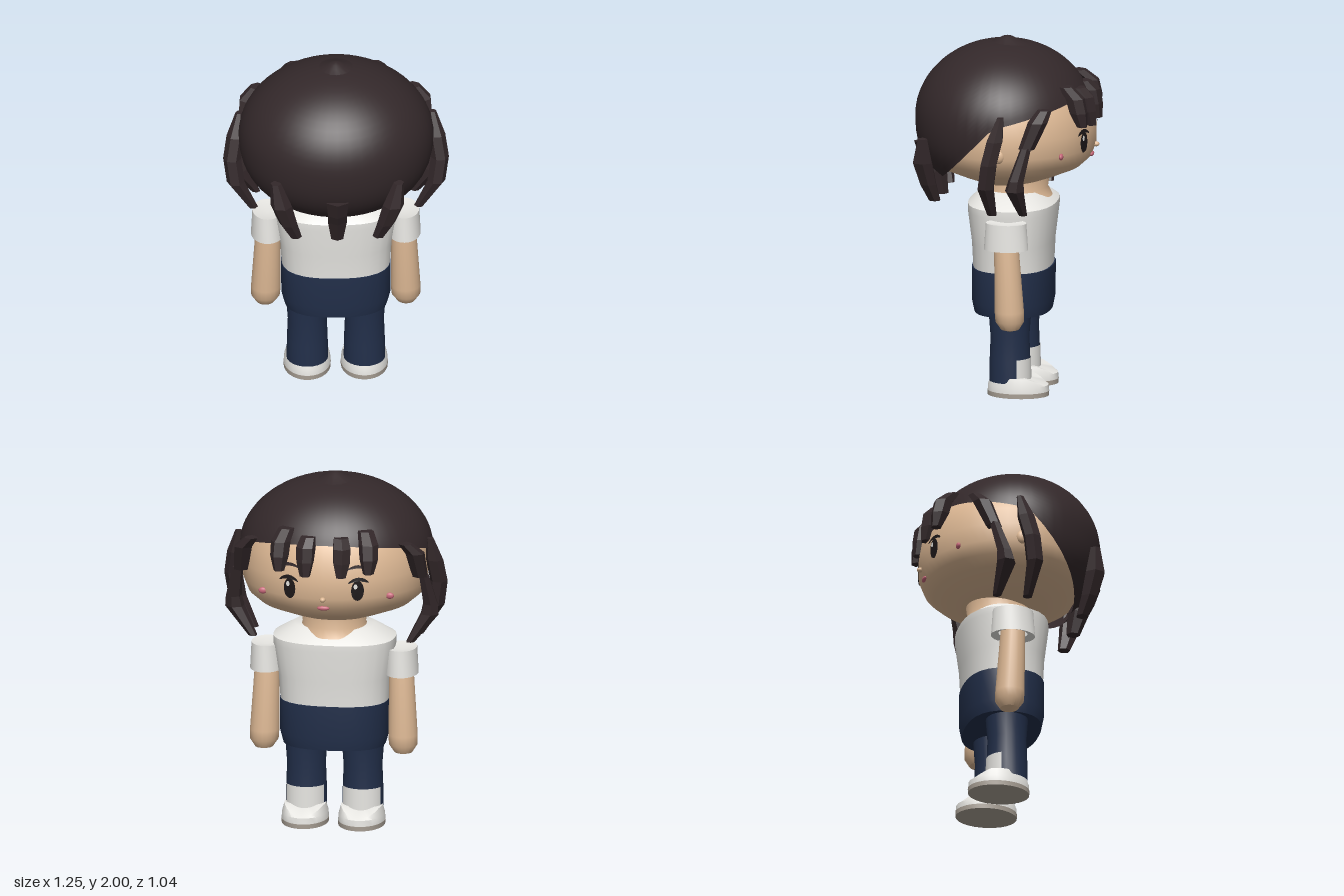
import * as THREE from 'three';
import { mergeVertices, toCreasedNormals } from 'three/addons/utils/BufferGeometryUtils.js';

const mat = (name, color, side = THREE.FrontSide) => {
  const m = new THREE.MeshStandardMaterial({ color, side });
  m.name = name;
  return m;
};

export function createModel() {
  const hair = mat('dark brown hair', 0x33282a, THREE.DoubleSide);
  const skin = mat('skin', 0xddb894);
  const white = mat('white cloth', 0xe9e8e4, THREE.DoubleSide);
  const navy = mat('navy cloth', 0x222f4a);
  const soleGrey = mat('sole grey', 0xaaa196);
  const pink = mat('pink', 0xc8687a, THREE.DoubleSide);
  const black = mat('eye black', 0x1d1819, THREE.DoubleSide);

  const root = new THREE.Group();
  const add = (name, geo, material) => {
    const mesh = new THREE.Mesh(geo, material);
    mesh.name = name;
    root.add(mesh);
  };
  const eachVertex = (geo, rule) => {
    const p = geo.attributes.position, v = new THREE.Vector3();
    for (let i = 0; i < p.count; i++) {
      rule(v.fromBufferAttribute(p, i));
      p.setXYZ(i, v.x, v.y, v.z);
    }
    geo.computeVertexNormals();
    return geo;
  };
  // Turned shape from [radius, y] points, listed bottom to top; rule reshapes it
  const turned = (name, pts, material, rule = () => {}, sides = 32, crease = 0.7) => {
    const geo = new THREE.LatheGeometry(pts.map(([r, y]) => new THREE.Vector2(r, y)), sides);
    geo.deleteAttribute('uv');
    geo.deleteAttribute('normal');
    add(name, toCreasedNormals(eachVertex(mergeVertices(geo, 1e-5), rule), crease), material);
  };

  // Head and neck
  const face = [[0, 1.17], [0.16, 1.18], [0.28, 1.225], [0.41, 1.28], [0.465, 1.33], [0.492, 1.4],
    [0.492, 1.5], [0.475, 1.6], [0.43, 1.7], [0.33, 1.8], [0, 1.88]];
  turned('head', face, skin, v => { v.x *= 1.04; if (v.z > 0) v.z *= 0.93; }, 56, 1.2);
  turned('neck', [[0.2, 1.1], [0.175, 1.15], [0.19, 1.26]], skin, v => { v.z -= 0.05; });

  // Hair cap, cut along a sloping hairline
  const hairRadius = y => {
    const d = Math.min(Math.abs(y - 1.55) / 0.42, 1), e = y < 1.55 ? 2.4 : 2;
    return Math.pow(1 - Math.pow(d, e), 1 / e);
  };
  const hairline = a => {
    let lo = 1.14, hi = 1.9;
    for (let i = 0; i < 30; i++) {
      const y = (lo + hi) / 2, z = 0.02 + 0.49 * hairRadius(y) * Math.cos(a);
      if (y < 1.58 - z * (z > 0 ? 1.05 : 0.26)) lo = y; else hi = y;
    }
    return lo;
  };
  const cap = eachVertex(new THREE.PlaneGeometry(1, 1, 48, 24), v => {
    const a = v.x * Math.PI * 2, t = 0.5 - v.y;
    // even steps in angle from the crown down to the hairline
    const end = Math.acos((hairline(a) - 1.55) / 0.42);
    const y = 1.55 + 0.42 * Math.cos(end * t), r = hairRadius(y);
    v.set(0.54 * r * Math.sin(a), y, 0.02 + 0.49 * r * Math.cos(a));
  });
  cap.deleteAttribute('uv');
  cap.deleteAttribute('normal');
  const capGeo = mergeVertices(cap, 1e-4);
  capGeo.computeVertexNormals();
  add('hairCap', capGeo, hair);
  turned('crownTip', [[0.14, 1.945], [0.05, 1.98], [0.03, 1.992], [0, 2]], hair, undefined, 16);

  // Hair locks: six-sided tapered strands through [x, y, z, radius] rings
  const lock = (name, rings, side = 1) => {
    const n = rings.length - 1;
    const geo = new THREE.CylinderGeometry(1, 1, 1, 6, n);
    geo.rotateY(Math.atan2(rings[0][0] * side, rings[0][2]));
    eachVertex(geo, v => {
      const [x, y, z, r] = rings[Math.round((0.5 - v.y) * n)];
      v.set(x * side + v.x * r, y, z + v.z * r);
    });
    const flat = geo.toNonIndexed();
    flat.computeVertexNormals();
    add(name, flat, hair);
  };
  lock('backMiddleLock', [[0, 1.38, 0.455, 0.07], [0, 1.28, 0.43, 0.06], [0, 1.22, 0.4, 0.06], [0, 1.09, 0.37, 0.038]]);
  for (const s of [1, -1]) {
    const n = s > 0 ? 'left' : 'right';
    lock(n + 'BackLock', [[0.34, 1.47, 0.42, 0.03], [0.31, 1.33, 0.425, 0.06], [0.27, 1.2, 0.4, 0.05], [0.23, 1.1, 0.37, 0.035]], s);
    lock(n + 'SideLock', [[0.535, 1.65, -0.05, 0.02], [0.555, 1.52, -0.02, 0.05], [0.575, 1.39, 0.01, 0.05],
      [0.555, 1.25, 0.03, 0.05], [0.46, 1.08, 0.01, 0.028]], s);
    lock(n + 'TempleLock', [[0.43, 1.68, -0.28, 0.04], [0.48, 1.62, -0.25, 0.055], [0.5, 1.47, -0.19, 0.045]], s);
    lock(n + 'TempleLockEnd', [[0.52, 1.48, -0.19, 0.03], [0.55, 1.3, -0.14, 0.045], [0.545, 1.24, -0.13, 0.055], [0.44, 1.08, -0.16, 0.025]], s);
    lock(n + 'OuterBang', [[0.22, 1.77, -0.36, 0.045], [0.245, 1.71, -0.42, 0.055], [0.25, 1.63, -0.44, 0.052], [0.25, 1.55, -0.46, 0.03]], s);
    lock(n + 'InnerBang', [[0.09, 1.74, -0.41, 0.045], [0.1, 1.69, -0.45, 0.055], [0.1, 1.61, -0.465, 0.052], [0.1, 1.53, -0.485, 0.03]], s);
  }

  // Face details: thin ovals that follow the face
  const faceZ = (x, y) => {
    const i = face.findIndex(p => p[1] > y), [r0, y0] = face[i - 1], [r1, y1] = face[i];
    const r = r0 + (r1 - r0) * (y - y0) / (y1 - y0);
    return -Math.sqrt(Math.max(r * r - (x / 1.04) ** 2, 0));
  };
  const oval = (name, x, y, w, h, material, lift = 0.005, bend = 0) => {
    const geo = new THREE.CircleGeometry(1, 20);
    eachVertex(geo, v => {
      const px = x + v.x * w, py = y + v.y * h - bend * v.x ** 2;
      v.set(px, py, faceZ(px, py) - lift);
    });
    add(name, geo, material);
  };
  const ball = (name, x, y, z, sx, sy, sz, material) => {
    const geo = new THREE.SphereGeometry(1, 14, 10);
    geo.scale(sx, sy, sz);
    geo.translate(x, y, z);
    add(name, geo, material);
  };
  for (const s of [1, -1]) {
    const n = s > 0 ? 'left' : 'right';
    oval(n + 'Eye', s * 0.19, 1.45, 0.034, 0.058, black);
    oval(n + 'EyeShine', s * 0.19 + 0.01, 1.475, 0.01, 0.015, white, 0.008);
    oval(n + 'Lash', s * 0.195, 1.515, 0.055, 0.011, black, 0.008, 0.02);
    oval(n + 'Brow', s * 0.19, 1.585, 0.055, 0.009, hair, 0.006, 0.015);
    ball(n + 'Cheek', s * 0.355, 1.4, -0.36, 0.024, 0.018, 0.012, pink);
    ball(n + 'Ear', s * 0.5, 1.42, -0.03, 0.025, 0.04, 0.035, skin);
  }
  ball('nose', 0, 1.4, -0.497, 0.016, 0.014, 0.018, skin);
  ball('mouth', 0, 1.345, -0.473, 0.035, 0.013, 0.012, pink);

  // Torso: rounded oval sections, slightly fuller than an ellipse
  const torso = depth => v => {
    const a = Math.atan2(v.x, v.z);
    const k = Math.pow(Math.abs(Math.sin(a)) ** 2.5 + Math.abs(Math.cos(a)) ** 2.5, -0.4);
    v.x *= k;
    v.z = v.z * k * depth - 0.035;
  };
  turned('shirt', [[0.3, 0.7], [0.31, 0.85], [0.34, 1.03], [0.34, 1.07], [0.22, 1.14], [0, 1.145]], white, torso(0.72));
  turned('shorts', [[0, 0.455], [0.285, 0.455], [0.302, 0.52], [0.303, 0.71], [0.2, 0.712]], navy, torso(0.74));

  for (const s of [1, -1]) {
    const n = s > 0 ? 'left' : 'right';
    // Arms and sleeves
    turned(n + 'Arm', [[0, 0.405], [0.05, 0.42], [0.08, 0.465], [0.082, 0.52], [0.068, 0.9], [0.06, 0.98]], skin,
      v => { v.x += s * (0.39 - (v.y - 0.41) * 0.03); v.z -= 0.08 - (v.y - 0.41) * 0.05; }, 20);
    turned(n + 'Sleeve', [[0.06, 0.885], [0.092, 0.87], [0.084, 1.02], [0, 1.0]], white,
      v => { v.x += s * 0.378; v.z = v.z * 1.35 - 0.055; }, 24);
    // Legs and the white shoe tongues
    turned(n + 'Leg', [[0.115, 0.08], [0.113, 0.2], [0.108, 0.33], [0.118, 0.46]], navy,
      v => { v.x += s * 0.158; v.z -= 0.04; }, 24);
    const tongue = new THREE.CylinderGeometry(0.117, 0.118, 0.13, 14, 1, true, Math.PI - 1.1, 2.2);
    tongue.translate(s * 0.158, 0.148, -0.04);
    add(n + 'ShoeTongue', tongue, white);
    // Shoes with a lowered toe, and soles
    const foot = v => {
      v.z = v.z * 1.32 - 0.087;
      if (v.y > 0.07 && v.z < -0.15) v.y -= (-0.15 - v.z) * 0.45;
      v.x += s * 0.158;
    };
    turned(n + 'Shoe', [[0.13, 0.025], [0.128, 0.06], [0.115, 0.108], [0, 0.112]], white, foot, 28);
    turned(n + 'Sole', [[0, 0], [0.13, 0], [0.131, 0.026], [0.1, 0.028]], soleGrey, foot, 28);
  }
  return root;
}
